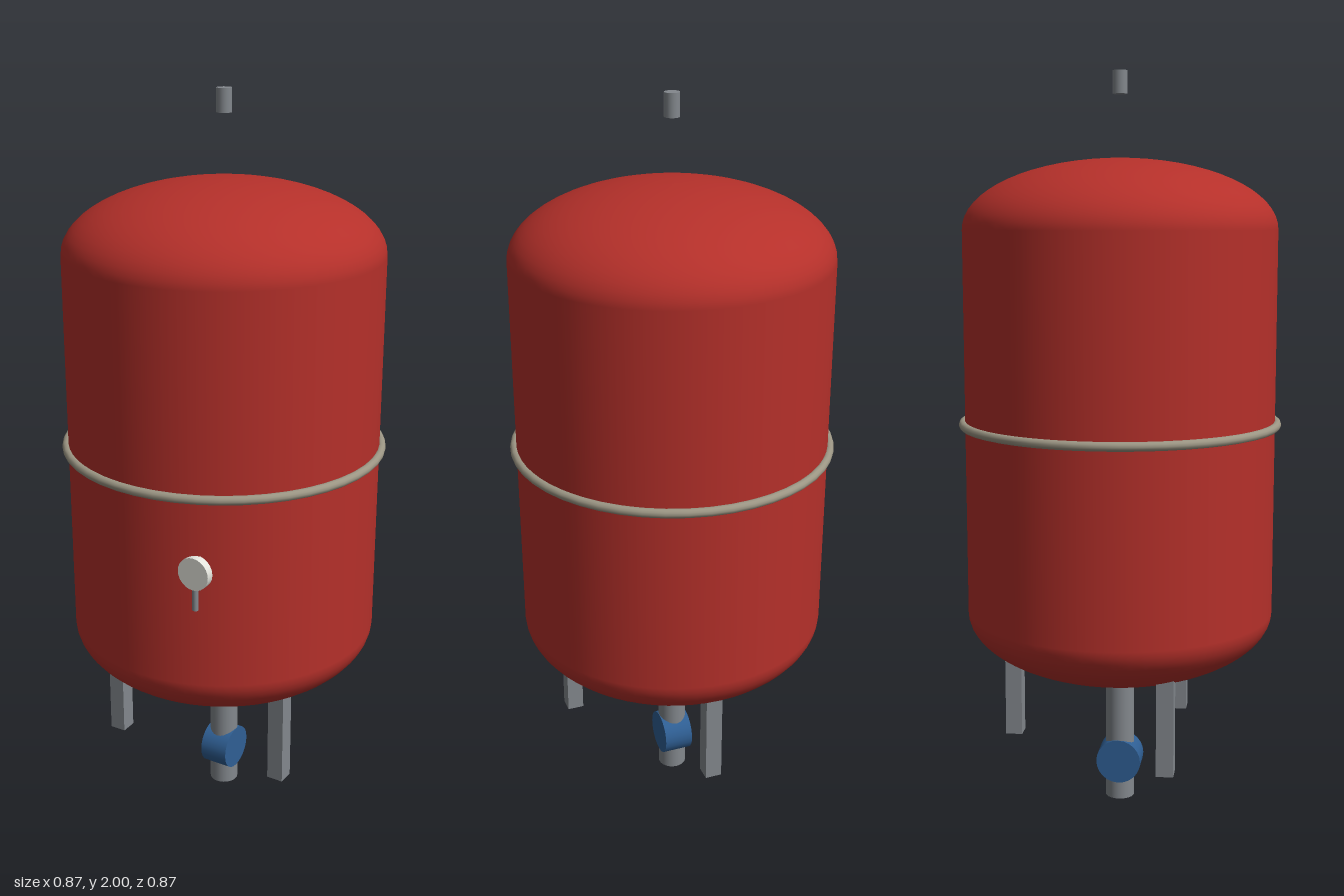
import * as THREE from 'three';

export function createModel() {
  const model = new THREE.Group();
  const paint = (color) => new THREE.MeshStandardMaterial({ color });
  const red = paint(0xb5302a);
  const steel = paint(0x83888d);
  const blue = paint(0x2f5f94);
  const bandGrey = paint(0x9c9684);
  const white = paint(0xe4e4dc);

  const add = (name, geometry, material, x, y, z) => {
    const mesh = new THREE.Mesh(geometry, material);
    mesh.name = name;
    mesh.position.set(x, y, z);
    model.add(mesh);
    return mesh;
  };

  // Tank: straight wall with a flattened elliptical dome at each end
  const radius = 0.42, domeHeight = 0.187, wallBottom = 0.55, wallTop = 1.588;
  const steps = 16;
  const profile = [];
  for (let i = 0; i <= steps; i++) {
    const a = (i / steps) * Math.PI / 2;
    profile.push(new THREE.Vector2(radius * Math.sin(a), wallBottom - domeHeight * Math.cos(a)));
  }
  for (let i = 0; i <= steps; i++) {
    const a = (i / steps) * Math.PI / 2;
    profile.push(new THREE.Vector2(radius * Math.cos(a), wallTop + domeHeight * Math.sin(a)));
  }
  profile[0].x = profile[profile.length - 1].x = 0;
  add('tank', new THREE.LatheGeometry(profile, 64), red, 0, 0, 0);

  // Clamp band around the middle
  const band = new THREE.TorusGeometry(0.425, 0.012, 12, 48);
  band.rotateX(Math.PI / 2);
  add('band', band, bandGrey, 0, 1.07, 0);

  // Three square legs set around the lower dome
  const legGeometry = new THREE.BoxGeometry(0.046, 0.29, 0.046);
  for (let i = 0; i < 3; i++) {
    const a = 0.5 + i * 2.1;
    add('leg', legGeometry, steel, 0.3 * Math.cos(a), 0.317, 0.3 * Math.sin(a));
  }

  // Connection pipe below the tank, with a valve body across it
  add('pipe', new THREE.CylinderGeometry(0.04, 0.04, 0.4, 24), steel, 0, 0.2, 0);
  const valve = new THREE.CylinderGeometry(0.062, 0.062, 0.082, 24);
  valve.rotateZ(Math.PI / 2);
  add('valve', valve, blue, 0, 0.11, 0);

  // Air vent above the tank
  add('airVent', new THREE.CylinderGeometry(0.02, 0.02, 0.06, 20), steel, 0, 1.97, 0);

  // Pressure gauge: round dial facing forward on a short stem
  const dial = new THREE.CylinderGeometry(0.044, 0.044, 0.022, 24);
  dial.rotateX(Math.PI / 2);
  add('gaugeDial', dial, white, 0.155, 0.873, 0.397);
  add('gaugeStem', new THREE.CylinderGeometry(0.008, 0.008, 0.08, 12), steel, 0.155, 0.81, 0.397);

  return model;
}
